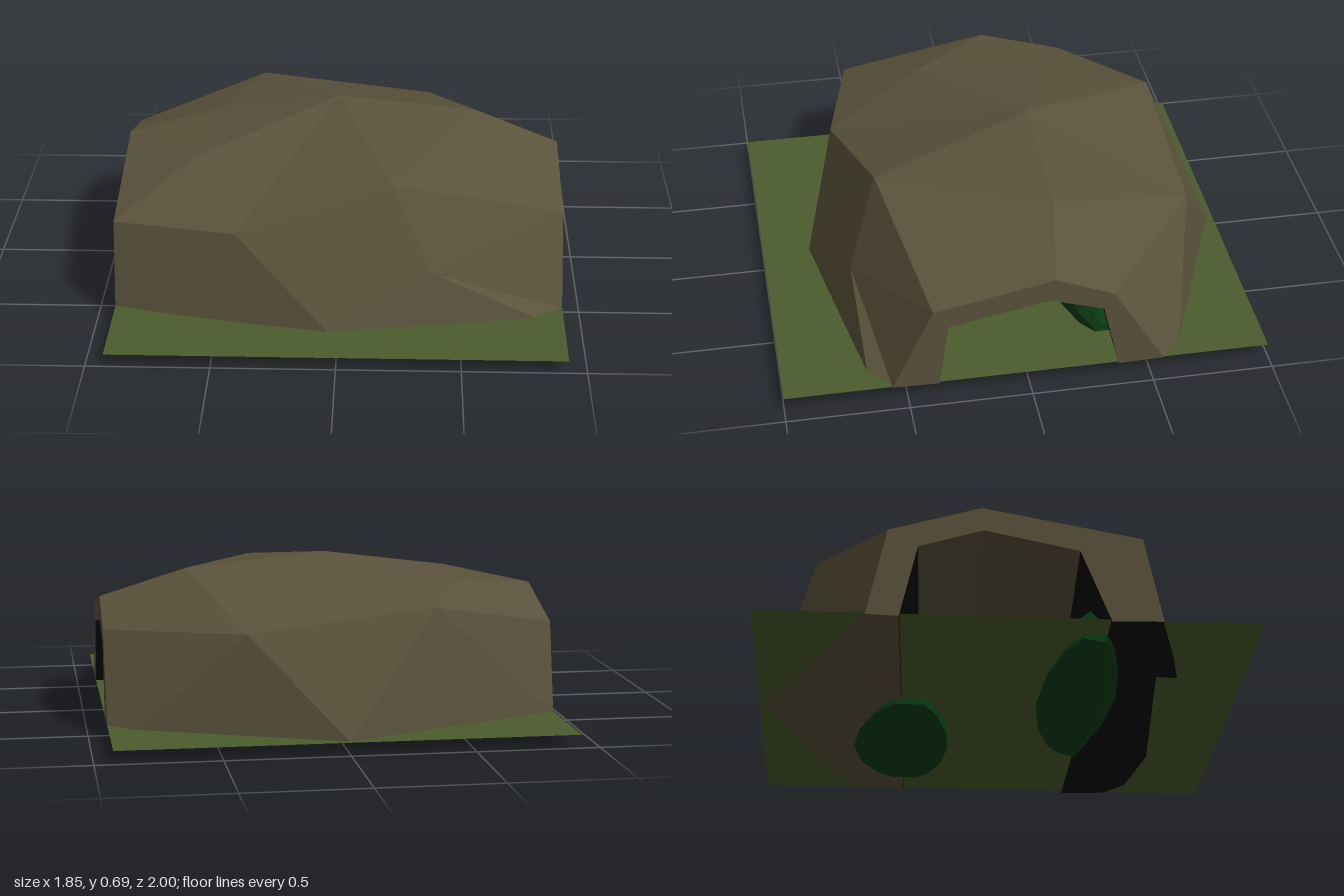
import * as THREE from 'three';

const mat = (name, color, extra = {}) =>
  Object.assign(new THREE.MeshStandardMaterial({ color, flatShading: true, ...extra }), { name });

// Triangles between two rows of points, walking along both by a key (x by default)
function stitch(a, b, key = (p) => p[0]) {
  const out = [];
  let i = 0, j = 0;
  const add = (p, q, r) => {
    if (p !== q && q !== r && p !== r) out.push(...p, ...q, ...r);
  };
  while (i < a.length - 1 || j < b.length - 1) {
    const nextA = i < a.length - 1 ? key(a[i + 1], i + 1) : Infinity;
    const nextB = j < b.length - 1 ? key(b[j + 1], j + 1) : Infinity;
    if (nextA <= nextB) add(a[i], a[++i], b[j]);
    else add(a[i], b[j + 1], b[j++]);
  }
  return out;
}

function meshFrom(name, material, positions) {
  const g = new THREE.BufferGeometry();
  g.setAttribute('position', new THREE.Float32BufferAttribute(positions, 3));
  g.computeVertexNormals();
  const m = new THREE.Mesh(g, material);
  m.name = name;
  return m;
}

// Low bush: a faceted cross-section of [z, y] lofted along x and tapered to both ends
function bush(name, material, x0, x1, profile, zMid) {
  const stations = [[0, 0.3], [0.1, 0.62], [0.3, 0.9], [0.52, 1], [0.75, 0.85], [0.92, 0.55], [1, 0.25]];
  const rings = stations.map(([t, s], n) => profile.map(([z, y], k) => {
    const wobble = 1 + 0.05 * Math.sin(n * 2.3 + k * 1.7) * (s < 1 ? 1 : 0);
    return [x0 + (x1 - x0) * t, y * (y > 0.1 ? s * wobble : 1) + (1 - s) * 0.02, zMid + (z - zMid) * s];
  }));
  const tris = [];
  const count = profile.length;
  for (let n = 0; n < rings.length - 1; n++) {
    for (let k = 0; k < count; k++) {
      const l = (k + 1) % count;
      const [a, b, c, d] = [rings[n][k], rings[n + 1][k], rings[n + 1][l], rings[n][l]];
      tris.push(...a, ...b, ...c, ...a, ...c, ...d);
    }
  }
  const first = rings[0], last = rings[rings.length - 1];
  for (let k = 1; k < count - 1; k++) {
    tris.push(...first[0], ...first[k], ...first[k + 1]);
    tris.push(...last[0], ...last[k + 1], ...last[k]);
  }
  return meshFrom(name, material, tris);
}

export function createModel() {
  const group = new THREE.Group();
  group.name = 'rockTunnel';
  const rock = mat('rock brown', 0x5a523b);
  const dark = mat('hollow black', 0x050505);
  const grass = mat('grass green', 0x4c5d2d, { side: THREE.DoubleSide });
  const leaf = mat('leaf green', 0x0c3d16);
  const E = 0.925;

  // Outer rock: rows along x, from the front foot over the crown to the back foot
  const frontFoot = [[-E, 0.05, 0.6], [-0.62, 0.05, 0.68], [-0.04, 0.06, 0.8], [0.82, 0.05, 0.65], [E, 0.05, 0.56]];
  const shoulder = [[-E, 0.41, 0.53], [-0.42, 0.42, 0.65], [0.22, 0.59, 0.53], [E, 0.41, 0.39]];
  const fold = [...shoulder.slice(0, 3), [0.38, 0.26, 0.66], shoulder[3]];
  const ridge = [[-E, 0.53, -0.11], [-0.62, 0.565, 0.23], [-0.02, 0.69, -0.16], [0.57, 0.63, -0.16], [E, 0.51, -0.1]];
  const backRidge = [ridge[0], [-0.55, 0.575, -0.26], ...ridge.slice(2)];
  const backShoulder = [[-E, 0.42, -0.48], [-0.38, 0.54, -0.77], [0.38, 0.45, -0.77], [E, 0.41, -0.34]];
  const backFoot = [[-E, 0.05, -0.56], [0, 0.05, -0.98], [0.82, 0.05, -0.65], [E, 0.05, -0.56]];
  const rows = [frontFoot, fold, shoulder, ridge, backRidge, backShoulder, backFoot];
  const shell = [];
  for (let k = 0; k < rows.length - 1; k++) shell.push(...stitch(rows[k], rows[k + 1]));

  // Passage through the rock, as [z, y] at each mouth
  const rightMouth = [[0.37, 0.045], [0.33, 0.33], [-0.08, 0.41], [-0.3, 0.34], [-0.37, 0.045]].map(([z, y]) => [E, y, z]);
  const leftMouth = [[0.4, 0.045], [0.28, 0.35], [-0.1, 0.43], [-0.36, 0.35], [-0.43, 0.045]].map(([z, y]) => [-E, y, z]);
  const inner = rightMouth.map((p, k) => [leftMouth[k], p]);

  // Rims around the two mouths
  const outerRows = [frontFoot, shoulder, ridge, backShoulder, backFoot];
  const byIndex = (p, n) => n;
  const rims = [
    ...stitch(rightMouth, outerRows.map((r) => r[r.length - 1]), byIndex),
    ...stitch(outerRows.map((r) => r[0]), leftMouth, byIndex),
  ];
  group.add(meshFrom('rockShell', rock, [...shell, ...rims]));
  group.add(meshFrom('tunnelCeiling', rock, [...stitch(inner[2], inner[1]), ...stitch(inner[3], inner[2])]));
  group.add(meshFrom('tunnelWalls', dark, [...stitch(inner[1], inner[0]), ...stitch(inner[4], inner[3])]));
  group.add(meshFrom('frontUnderside', dark, stitch(inner[0], frontFoot)));
  group.add(meshFrom('backUnderside', rock, stitch(backFoot, inner[4])));

  // Ground sheet
  const ground = new THREE.Mesh(new THREE.PlaneGeometry(2 * E, 2).rotateX(-Math.PI / 2), grass);
  ground.name = 'ground';
  ground.position.y = 0.054;
  group.add(ground);

  // Bushes along both inner walls
  group.add(bush('frontBush', leaf, -0.8, 0.4,
    [[0.5, 0.05], [0.42, 0], [0.16, 0.015], [0.25, 0.23], [0.33, 0.335], [0.42, 0.25]].reverse(), 0.36));
  group.add(bush('backBush', leaf, -0.12, 0.72,
    [[-0.19, 0.01], [-0.6, 0.01], [-0.5, 0.1], [-0.36, 0.28], [-0.29, 0.34], [-0.24, 0.3], [-0.17, 0.2]].reverse(), -0.36));
  return group;
}
